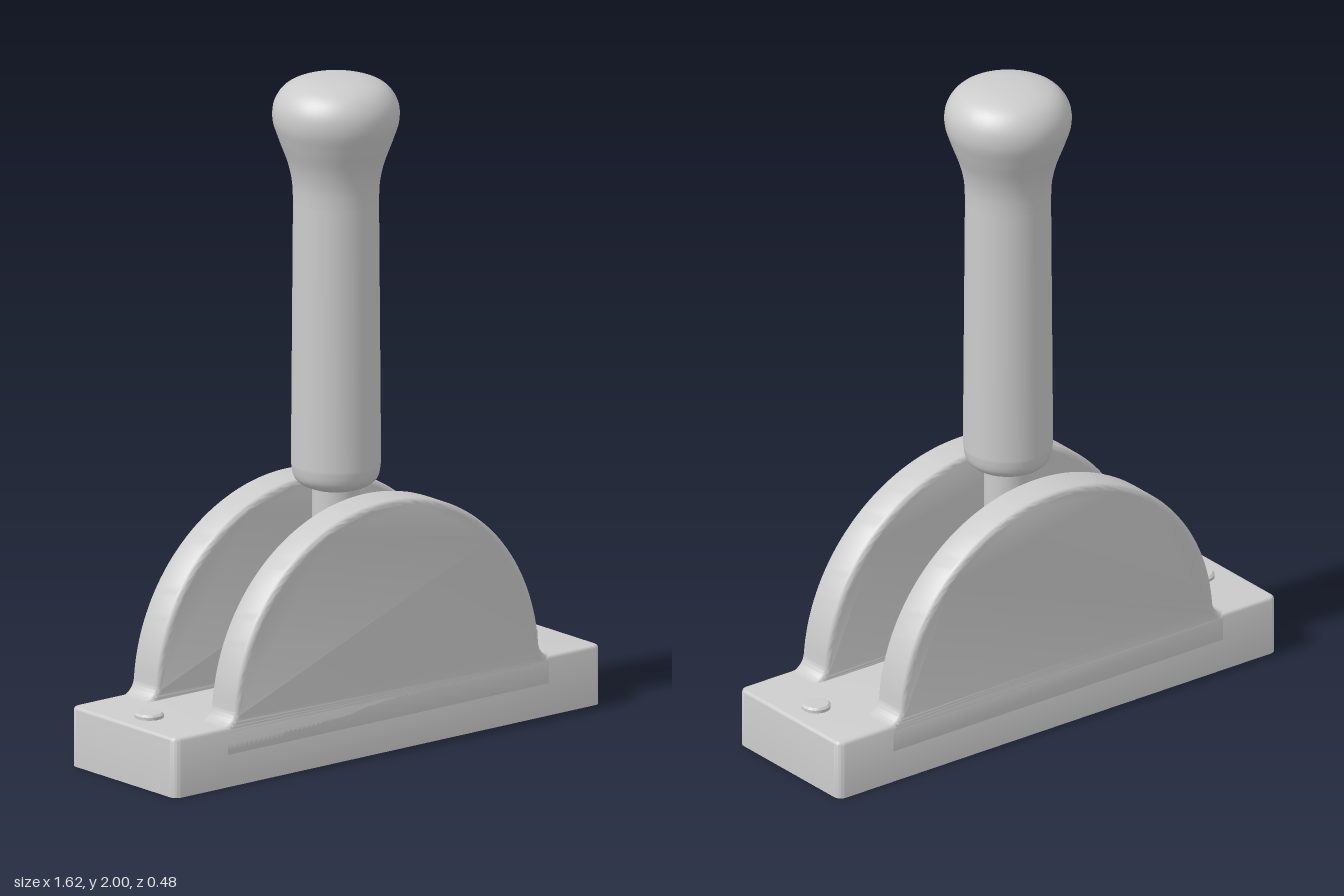
import * as THREE from 'three';
import { toCreasedNormals } from 'three/addons/utils/BufferGeometryUtils.js';

const material = new THREE.MeshStandardMaterial({ color: 0xcccccc });

function add(group, name, geometry, x = 0, y = 0, z = 0) {
  const mesh = new THREE.Mesh(geometry, material);
  mesh.name = name;
  mesh.position.set(x, y, z);
  group.add(mesh);
  return mesh;
}

// Extrusion with rounded rims that keeps the outline at its drawn size
function roundedExtrude(shape, thickness, rim) {
  return new THREE.ExtrudeGeometry(shape, {
    depth: thickness - 2 * rim, bevelEnabled: true, bevelThickness: rim,
    bevelSize: rim, bevelOffset: -rim, bevelSegments: 4, curveSegments: 40,
  });
}

// Base plate: rounded plan, soft top rim, sharp flat underside
function baseGeometry() {
  const w = 0.81, d = 0.24, r = 0.025, rim = 0.01;
  const plan = new THREE.Shape();
  plan.absarc(w - r, d - r, r, 0, Math.PI / 2);
  plan.absarc(-w + r, d - r, r, Math.PI / 2, Math.PI);
  plan.absarc(-w + r, -d + r, r, Math.PI, Math.PI * 1.5);
  plan.absarc(w - r, -d + r, r, Math.PI * 1.5, Math.PI * 2);
  const geometry = roundedExtrude(plan, 0.18 + rim, rim);
  geometry.rotateX(-Math.PI / 2);
  const p = geometry.attributes.position;
  for (let i = 0; i < p.count; i++) p.setY(i, Math.max(0, p.getY(i)));
  return toCreasedNormals(geometry, 0.6);
}

// Cheek: half disc that flows into the base through a fillet at each foot
function cheekGeometry() {
  const top = 0.18, R = 0.58, f = 0.05;
  const fx = Math.sqrt((R + f) ** 2 - f ** 2);
  const a = Math.atan2(f, fx);
  const side = new THREE.Shape();
  side.moveTo(-fx, 0.08);
  side.lineTo(fx, 0.08);
  side.absarc(fx, top + f, f, Math.PI * 1.5, Math.PI + a, true);
  side.absarc(0, top, R, a, Math.PI - a, false);
  side.absarc(-fx, top + f, f, -a, -Math.PI / 2, true);
  side.closePath();
  const geometry = roundedExtrude(side, 0.12, 0.018);
  geometry.translate(0, 0, -0.042);
  return toCreasedNormals(geometry, 0.6);
}

// Grip profile: rounded lower end, slightly tapered barrel, flared knob
function gripGeometry() {
  const lower = new THREE.SplineCurve([
    [0.075, 0.755], [0.105, 0.768], [0.125, 0.79], [0.132, 0.83],
  ].map(([x, y]) => new THREE.Vector2(x, y))).getPoints(10);
  const upper = new THREE.SplineCurve([
    [0.126, 1.62], [0.129, 1.68], [0.142, 1.74], [0.168, 1.81], [0.186, 1.87],
    [0.18, 1.925], [0.145, 1.97], [0.08, 1.994], [0, 2],
  ].map(([x, y]) => new THREE.Vector2(x, y))).getPoints(48);
  upper[upper.length - 1].set(0, 2);
  return new THREE.LatheGeometry([new THREE.Vector2(0, 0.75), ...lower, ...upper], 48);
}

// Screw head: low disc with a softened rim
function screwGeometry() {
  const profile = [[0.043, 0], [0.043, 0.01], [0.037, 0.016], [0, 0.017]];
  const geometry = new THREE.LatheGeometry(profile.map(([x, y]) => new THREE.Vector2(x, y)), 28);
  return toCreasedNormals(geometry, 0.6);
}

export function createModel() {
  const model = new THREE.Group();
  model.name = 'leverControl';

  add(model, 'basePlate', baseGeometry());

  const cheek = cheekGeometry();
  add(model, 'frontCheek', cheek, 0, 0, 0.18);
  add(model, 'backCheek', cheek, 0, 0, -0.18);

  const screw = screwGeometry();
  add(model, 'leftScrew', screw, 0.71, 0.179, 0);
  add(model, 'rightScrew', screw, -0.71, 0.179, 0);

  // Lever: thin shaft between the cheeks with the grip on top
  const lever = new THREE.Group();
  lever.name = 'lever';
  add(lever, 'shaft', new THREE.CylinderGeometry(0.07, 0.07, 0.65, 32), 0, 0.475, 0);
  add(lever, 'grip', gripGeometry());
  model.add(lever);

  return model;
}
